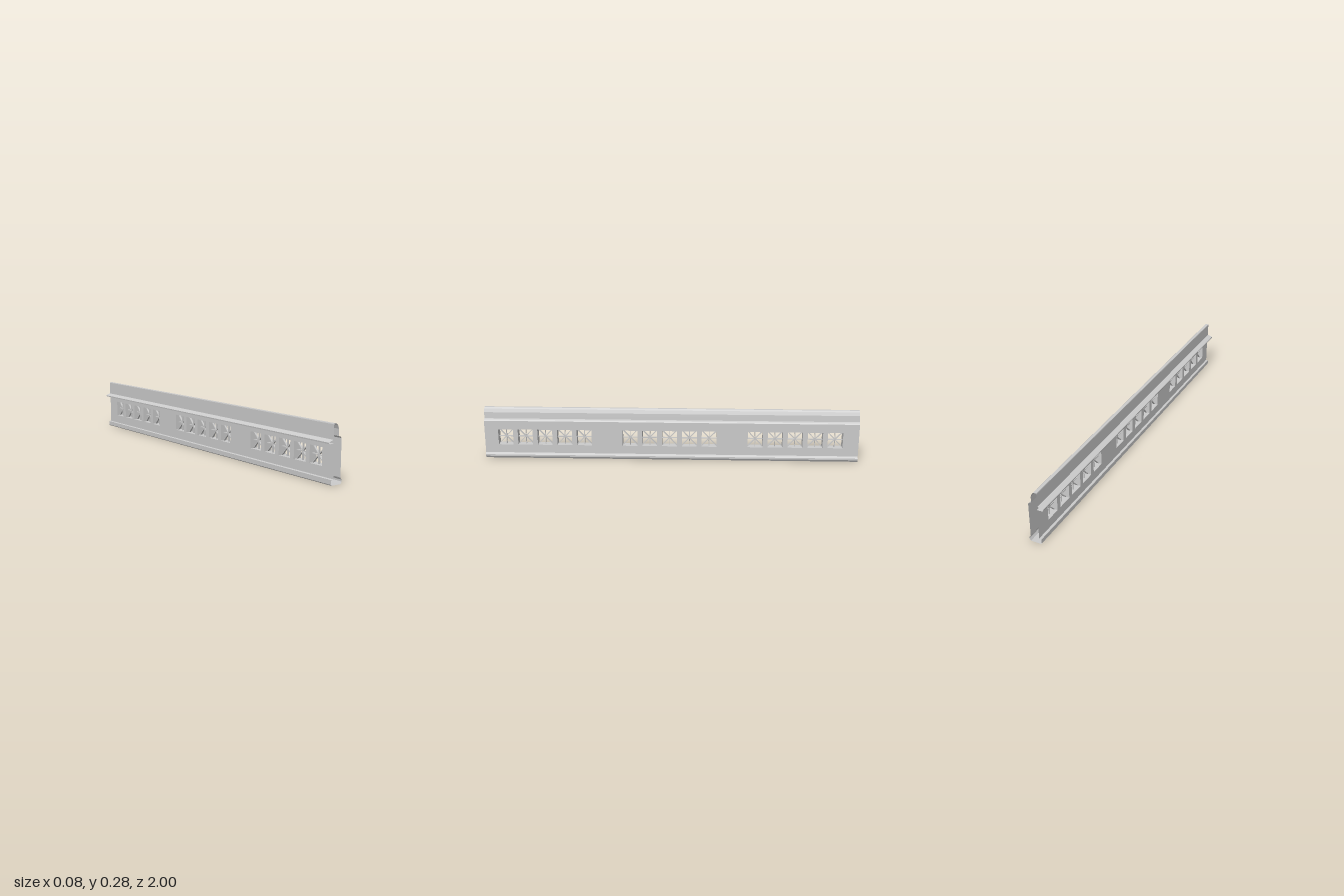
import * as THREE from 'three';

const LENGTH = 2;
const FRONT = 0.033, BACK = -0.011;       // x of the two panel walls
const HOLE_W = 0.08, HOLE_LOW = 0.075, HOLE_HIGH = 0.16;
const HOLE_H = HOLE_HIGH - HOLE_LOW, HOLE_Y = (HOLE_LOW + HOLE_HIGH) / 2;
const GROUPS = [0.887, 0.217, -0.452];    // z of the first vent in each group
const PITCH = 0.106, PER_GROUP = 5;

const material = new THREE.MeshStandardMaterial({ color: 0xcccccc, side: THREE.DoubleSide });

// Thin folded sheet: a 2D polyline swept along local z.
function sheet(points, length) {
  const h = length / 2, pos = [];
  for (let i = 0; i < points.length - 1; i++) {
    const [ax, ay] = points[i], [bx, by] = points[i + 1];
    pos.push(ax, ay, h, ax, ay, -h, bx, by, -h);
    pos.push(ax, ay, h, bx, by, -h, bx, by, h);
  }
  const geo = new THREE.BufferGeometry();
  geo.setAttribute('position', new THREE.Float32BufferAttribute(pos, 3));
  geo.computeVertexNormals();
  return geo;
}

function add(parent, geometry, name) {
  const mesh = new THREE.Mesh(geometry, material);
  mesh.name = name;
  parent.add(mesh);
  return mesh;
}

// Flat wall with a rectangular opening for every vent, facing along x.
function perforatedWall(low, high, centres) {
  const shape = new THREE.Shape();
  const rect = (path, z0, z1, y0, y1) =>
    path.moveTo(z0, y0).lineTo(z1, y0).lineTo(z1, y1).lineTo(z0, y1).closePath();
  rect(shape, -LENGTH / 2, LENGTH / 2, low, high);
  for (const z of centres) {
    const hole = new THREE.Path();
    rect(hole, z - HOLE_W / 2, z + HOLE_W / 2, HOLE_LOW, HOLE_HIGH);
    shape.holes.push(hole);
  }
  return new THREE.ShapeGeometry(shape).rotateY(-Math.PI / 2);
}

export function createModel() {
  const model = new THREE.Group();
  model.name = 'ventilatedSlat';

  const centres = GROUPS.flatMap((z) =>
    Array.from({ length: PER_GROUP }, (_, i) => z - i * PITCH));

  // Front and back walls of the hollow slat
  add(model, perforatedWall(0.03, 0.207, centres), 'frontWall').position.x = FRONT;
  add(model, perforatedWall(0.028, 0.187, centres), 'backWall').position.x = BACK;

  // Stepped top channel, running from the front wall over to the back
  add(model, sheet([
    [FRONT, 0.207], [0.029, 0.213], [0.018, 0.217], [0.016, 0.25],
    [0.009, 0.268], [0.002, 0.275], [-0.013, 0.275], [-0.014, 0.272], [-0.014, 0.204],
  ], LENGTH), 'topChannel');

  // Sloping interlock rail on the back
  add(model, sheet([
    [-0.014, 0.204], [-0.018, 0.204], [-0.04, 0.196], [-0.042, 0.194],
    [-0.041, 0.188], [-0.036, 0.187], [BACK, 0.187],
  ], LENGTH), 'backRail');

  // Bottom edge: front bead, floor and back lip
  add(model, sheet([
    [FRONT, 0.03], [0.036, 0.024], [0.041, 0.02], [0.041, 0.011], [0.034, 0],
    [-0.02, 0], [-0.023, 0.004], [-0.023, 0.026], [-0.02, 0.028], [BACK, 0.028],
  ], LENGTH), 'bottomEdge');

  // Vents: a rectangular duct with an eight-spoke grille inside
  const w = HOLE_W / 2, h = HOLE_H / 2;
  const duct = sheet([[-w, -h], [w, -h], [w, h], [-w, h], [-w, -h]], FRONT - BACK);
  const reach = Math.hypot(w, h);
  for (const z of centres) {
    const vent = new THREE.Group();
    vent.name = 'vent';
    vent.position.set((FRONT + BACK) / 2, HOLE_Y, z);
    vent.rotation.y = -Math.PI / 2;
    add(vent, duct, 'duct');
    for (const [length, angle] of [
      [HOLE_W, 0], [HOLE_H, Math.PI / 2],
      [reach * 2, Math.atan2(h, w)], [reach * 2, -Math.atan2(h, w)],
    ]) {
      add(vent, new THREE.BoxGeometry(length, 0.004, 0.01), 'spoke').rotation.z = angle;
    }
    const hub = add(vent, new THREE.CylinderGeometry(0.006, 0.006, 0.011, 8), 'hub');
    hub.rotation.x = Math.PI / 2;
    model.add(vent);
  }
  return model;
}
